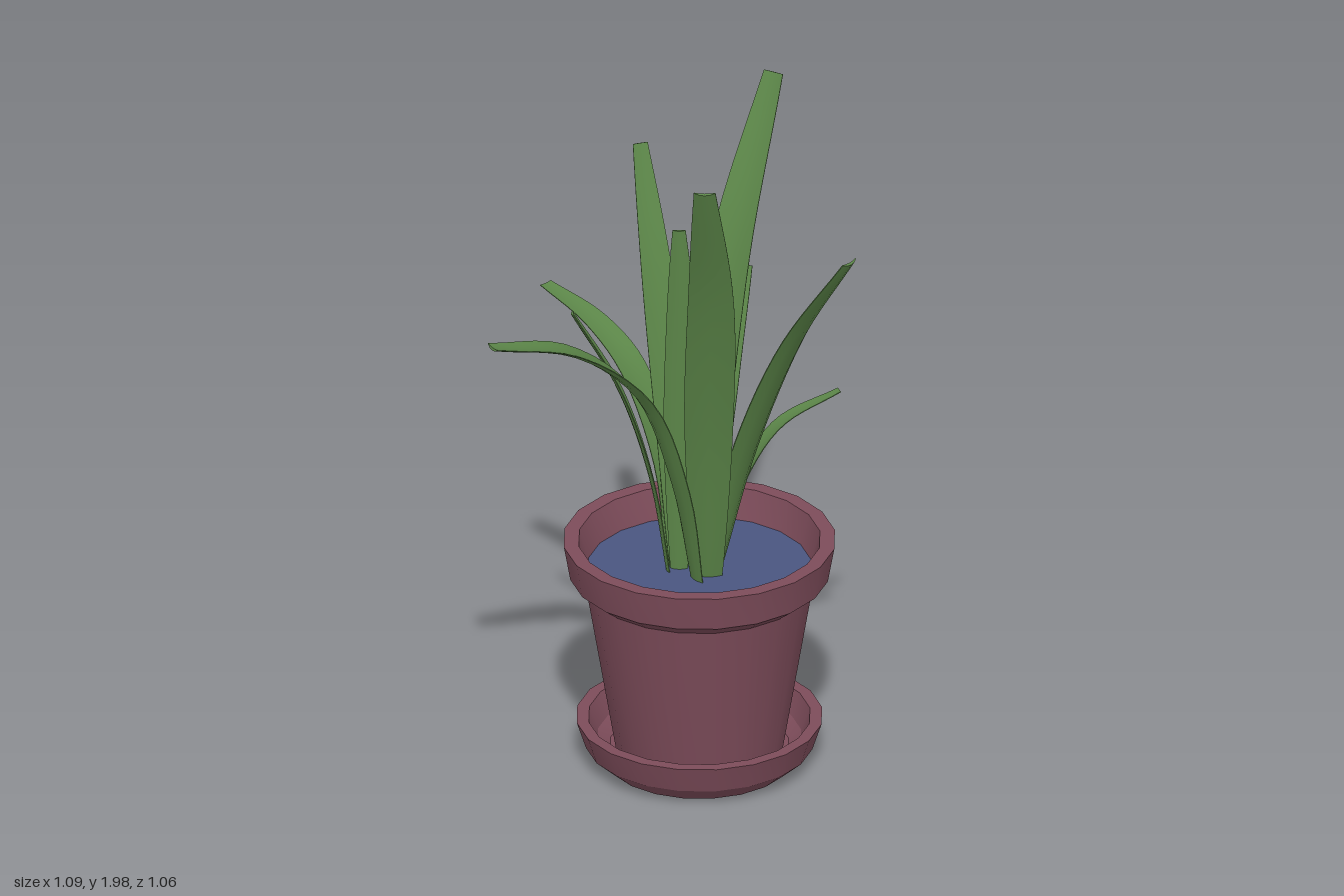
import * as THREE from 'three';
import { toCreasedNormals } from 'three/addons/utils/BufferGeometryUtils.js';

const material = (color) => new THREE.MeshStandardMaterial({ color, side: THREE.DoubleSide });

// Blade swept along a spine: a shallow channel section that widens, then narrows to a blunt tip
function leafGeometry(points, width) {
  const spine = new THREE.CatmullRomCurve3(points.map((p) => new THREE.Vector3(...p)));
  const first = points[0], last = points[points.length - 1];
  const side = new THREE.Vector3(last[2] - first[2], 0, first[0] - last[0]).normalize();
  const rows = 20, cols = 4, thickness = 0.008;
  const ring = cols * 2 + 2;
  const positions = [], index = [];
  for (let i = 0; i <= rows; i++) {
    const t = i / rows;
    const centre = spine.getPoint(t);
    const normal = new THREE.Vector3().crossVectors(side, spine.getTangent(t)).normalize();
    const swell = Math.sin(Math.PI * Math.pow(t, 0.9));
    const half = width * (0.5 * swell + 0.5 * (0.55 - 0.12 * t) * (1 - swell));
    for (let j = 0; j < ring; j++) {
      const back = j > cols;
      const u = (back ? ring - 1 - j : j) / cols * 2 - 1;
      const lift = half * 0.22 * (u * u - 0.5) + (back ? -0.5 : 0.5) * thickness * (1 - 0.7 * u * u);
      const p = centre.clone().addScaledVector(side, u * half).addScaledVector(normal, -lift);
      positions.push(p.x, p.y, p.z);
    }
  }
  for (let i = 0; i < rows; i++) {
    for (let j = 0; j < ring; j++) {
      const a = i * ring + j, b = i * ring + (j + 1) % ring;
      index.push(a, b, a + ring, b, b + ring, a + ring);
    }
  }
  // Blunt tip
  const end = rows * ring;
  for (let j = 0; j < cols; j++) {
    const a = end + j, b = a + 1, c = end + ring - 1 - j, d = c - 1;
    index.push(a, b, c, b, d, c);
  }
  const geometry = new THREE.BufferGeometry();
  geometry.setAttribute('position', new THREE.Float32BufferAttribute(positions, 3));
  geometry.setIndex(index);
  return toCreasedNormals(geometry, 0.9);
}

export function createModel() {
  const model = new THREE.Group();
  const clay = material(0x7d4c5a), soilBlue = material(0x4a5680), green = material(0x5b8548);

  const potGroup = new THREE.Group();
  potGroup.name = 'pottery';
  potGroup.position.set(0.005, 0, -0.095);
  model.add(potGroup);

  const lathe = (name, profile) => {
    const geometry = new THREE.LatheGeometry(profile.map(([r, y]) => new THREE.Vector2(r, y)), 20);
    geometry.deleteAttribute('normal');
    const mesh = new THREE.Mesh(toCreasedNormals(geometry, 0.45), clay);
    mesh.name = name;
    potGroup.add(mesh);
  };

  // Saucer dish
  lathe('saucer', [[0, 0], [0.262, 0], [0.318, 0.05], [0.344, 0.13], [0.31, 0.13], [0.285, 0.065], [0.25, 0.04], [0, 0.04]]);
  // Tapered pot with a thick collar
  lathe('pot', [[0, 0.042], [0.234, 0.042], [0.317, 0.54], [0.362, 0.575], [0.38, 0.677], [0.338, 0.677], [0.31, 0.58]]);

  // Soil surface
  const soil = new THREE.Mesh(new THREE.CircleGeometry(0.313, 20), soilBlue);
  soil.name = 'soil';
  soil.rotation.x = -Math.PI / 2;
  soil.position.y = 0.59;
  potGroup.add(soil);

  // Leaves: width, then spine points from soil to tip
  const leaves = [
    [0.095, [-0.07, 0.57, -0.08], [-0.12, 0.88, -0.12], [-0.24, 1.12, -0.16], [-0.38, 1.22, -0.2], [-0.55, 1.28, -0.23]],
    [0.12, [0.03, 0.57, -0.03], [0.01, 0.9, 0.04], [-0.06, 1.2, 0.13], [-0.18, 1.39, 0.31], [-0.32, 1.465, 0.52]],
    [0.1, [-0.05, 0.57, -0.08], [-0.1, 0.98, -0.13], [-0.19, 1.4, -0.21], [-0.295, 1.74, -0.31]],
    [0.14, [0, 0.57, -0.09], [0.0, 1.02, -0.16], [0.0, 1.5, -0.3], [0.015, 1.94, -0.52]],
    [0.14, [0.05, 0.57, -0.06], [0.1, 1.08, 0.03], [0.17, 1.56, 0.15], [0.235, 1.98, 0.31]],
    [0.135, [0.05, 0.57, -0.09], [0.14, 0.95, -0.1], [0.31, 1.36, -0.07], [0.53, 1.7, 0.005]],
    [0.06, [0.04, 0.57, -0.11], [0.09, 0.82, -0.16], [0.17, 1.0, -0.25], [0.3, 1.085, -0.37]],
    [0.065, [-0.06, 0.57, -0.04], [-0.1, 0.88, -0.01], [-0.17, 1.17, 0.05], [-0.285, 1.4, 0.11]],
    [0.085, [-0.04, 0.57, -0.06], [-0.04, 1.0, -0.055], [-0.03, 1.4, -0.05], [-0.03, 1.65, -0.04]],
    [0.08, [-0.01, 0.57, -0.17], [-0.01, 0.85, -0.22], [-0.015, 1.12, -0.31], [-0.025, 1.37, -0.435]],
  ];
  const foliage = new THREE.Group();
  foliage.name = 'foliage';
  leaves.forEach(([width, ...points], i) => {
    const leaf = new THREE.Mesh(leafGeometry(points, width), green);
    leaf.name = `leaf${i + 1}`;
    foliage.add(leaf);
  });
  model.add(foliage);
  return model;
}
